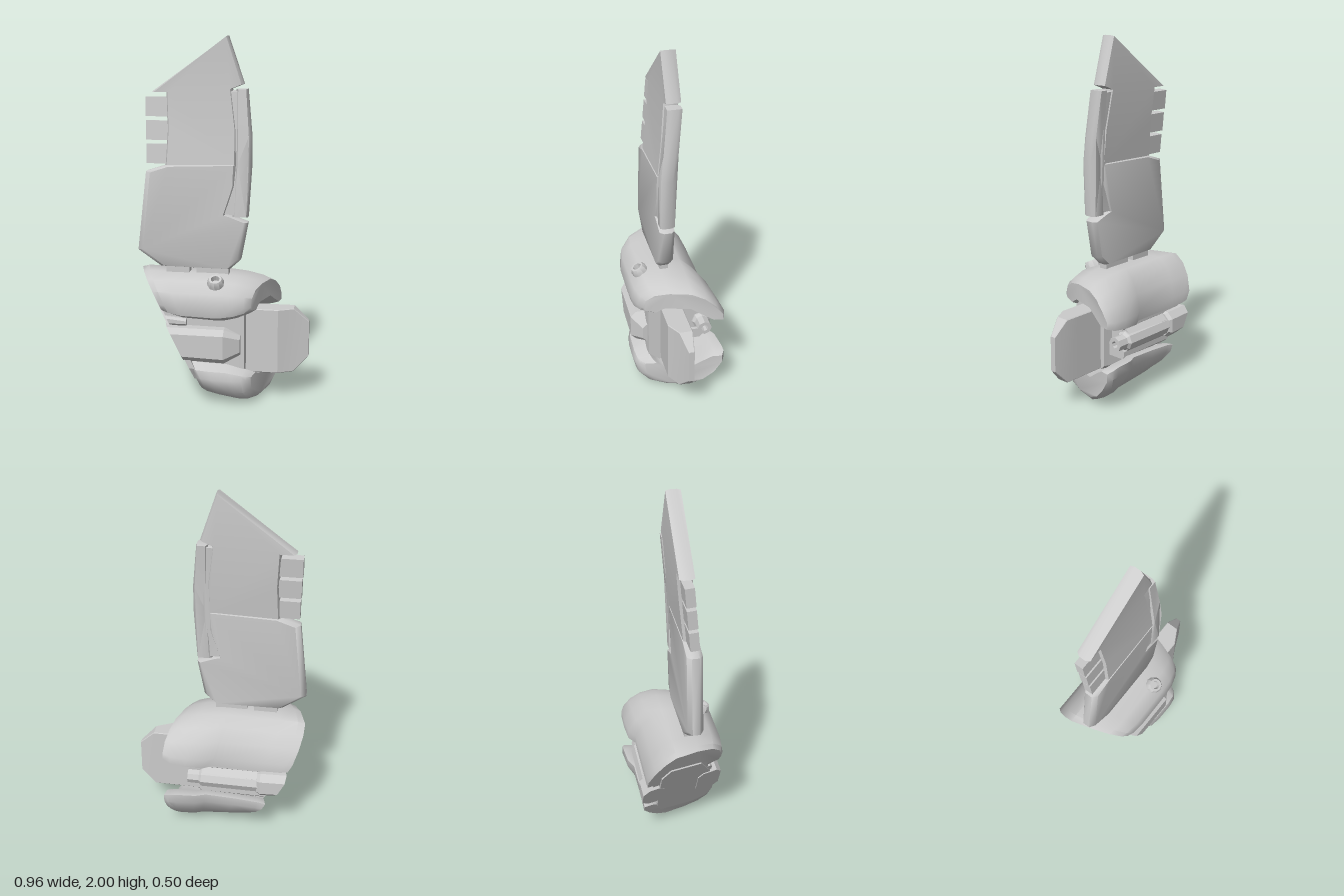
import * as THREE from 'three';
import { toCreasedNormals } from 'three/addons/utils/BufferGeometryUtils.js';

const V = (x, y, z) => new THREE.Vector3(x, y, z);
const lerp = THREE.MathUtils.lerp;
const material = new THREE.MeshStandardMaterial({ color: 0xcccccc, side: THREE.DoubleSide });

// Skin equal-count rings and close both ends; capAxis is the axis the caps face
function loft(rings, capAxis, crease) {
  const n = rings[0].length, tris = [];
  for (let r = 0; r < rings.length - 1; r++) {
    for (let i = 0; i < n; i++) {
      const j = (i + 1) % n, a = rings[r], b = rings[r + 1];
      tris.push([a[i], a[j], b[j]], [a[i], b[j], b[i]]);
    }
  }
  const u = capAxis === 'x' ? 'z' : 'x';
  const capFaces = (ring, flip) => {
    const flat = ring.map(p => new THREE.Vector2(p[u], p.y));
    const ccw = THREE.ShapeUtils.area(flat) > 0;
    for (const f of THREE.ShapeUtils.triangulateShape(flat, [])) {
      // keep the winding of the ring itself, then face outward
      const [a, b, c] = f.map(k => ring[k]);
      const same = (THREE.ShapeUtils.area(f.map(k => flat[k])) > 0) === ccw;
      tris.push(same !== flip ? [a, b, c] : [a, c, b]);
    }
  };
  capFaces(rings[0], true);
  capFaces(rings[rings.length - 1], false);
  let volume = 0;
  for (const [a, b, c] of tris) volume += a.dot(b.clone().cross(c));
  const pos = [];
  for (const [a, b, c] of tris) {
    for (const p of volume > 0 ? [a, b, c] : [a, c, b]) pos.push(p.x, p.y, p.z);
  }
  const g = new THREE.BufferGeometry();
  g.setAttribute('position', new THREE.Float32BufferAttribute(pos, 3));
  return toCreasedNormals(g, crease);
}

// Slanted plane that cuts the rear of the whole body
const cutX = (y, z) => -0.41 - 0.5 * (y - 0.6) + 0.3 * z;

// Gentle bend of the blade
function bend(y) {
  if (y < 1.3) return 0.047;
  if (y < 1.72) return lerp(0.047, 0.006, (y - 1.3) / 0.42);
  return lerp(0.006, 0.016, (y - 1.72) / 0.28);
}

// Bevelled plate following the bend; sx, sy shrink the flat faces
function plate(outline, thick, sx, sy) {
  const cx = outline.reduce((s, p) => s + p[0], 0) / outline.length;
  const cy = outline.reduce((s, p) => s + p[1], 0) / outline.length;
  const ring = (z, inset) => outline.map(([x, y]) => {
    const px = inset ? cx + (x - cx) * sx : x, py = inset ? cy + (y - cy) * sy : y;
    return V(px, py, bend(py) + z);
  });
  const h = thick / 2;
  return loft([ring(-h, true), ring(-h * 0.5, false), ring(h * 0.5, false), ring(h, true)], 'z', 1);
}

// Chamfered block: rings of [x, z0, z1, y0, y1, chamfer]; a slanted start follows the cut plane
function block(sections, slantStart = false) {
  return loft(sections.map(([x, z0, z1, y0, y1, c], i) => [
    [z0 + c, y0], [z1 - c, y0], [z1, y0 + c], [z1, y1 - c],
    [z1 - c, y1], [z0 + c, y1], [z0, y1 - c], [z0, y0 + c],
  ].map(([z, y]) => V(slantStart && i === 0 ? cutX(y, z) + x : x, y, z))), 'x', 0.3);
}

// Arched shell profile as [z, y], outside then inside
const arch = [
  [0.16, 0.465], [0.235, 0.5], [0.247, 0.56], [0.23, 0.63], [0.17, 0.685], [0.07, 0.71],
  [-0.06, 0.71], [-0.14, 0.665], [-0.2, 0.595], [-0.245, 0.51], [-0.245, 0.455], [-0.19, 0.455],
  [-0.12, 0.51], [-0.06, 0.56], [0.1, 0.56], [0.13, 0.52],
];

// stations: [t along x, front z scale, back z scale, y scale, lift of the front lip]
function shell(stations, mirrored) {
  const rings = stations.map(([t, front, back, sy, lift]) => arch.map(([z, y]) => {
    const pz = z * (z > 0 ? front : z < -0.1 ? back : 1);
    let py = 0.56 + (y - 0.56) * sy;
    if (z > 0 && y < 0.56) py = lerp(py, 0.56, lift);
    if (mirrored) py = 0.71 - py;
    const end = Math.min(0.303, 0.24 - 0.3 * pz);
    return V(lerp(cutX(py, pz), end, t), py, pz);
  }));
  return loft(rings, 'x', 0.75);
}

export function createModel() {
  const model = new THREE.Group();
  const add = (name, geometry) => {
    const m = new THREE.Mesh(geometry, material);
    m.name = name;
    model.add(m);
    return m;
  };
  const box = (name, x0, x1, y0, y1, z0, z1) => {
    const m = add(name, new THREE.BoxGeometry(x1 - x0, y1 - y0, z1 - z0));
    m.position.set((x0 + x1) / 2, (y0 + y1) / 2, (z0 + z1) / 2);
    return m;
  };

  // Blade: upper and lower plates
  add('upperBlade', plate([
    [0.03, 2], [-0.39, 1.7], [-0.31, 1.7], [-0.3, 1.5], [-0.31, 1.305],
    [0.08, 1.315], [0.08, 1.5], [0.05, 1.72], [0.115, 1.745],
  ], 0.08, 0.95, 0.99));
  add('lowerBlade', plate([
    [-0.42, 1.27], [-0.31, 1.305], [0.08, 1.318], [0.075, 1.2], [0.02, 1.04], [0.06, 1.03],
    [0.145, 1.0], [0.105, 0.79], [0.045, 0.735], [-0.34, 0.74], [-0.47, 0.83],
  ], 0.084, 0.92, 0.98));

  // Edge rail with its inner strip
  add('edgeRail', plate([
    [0.075, 1.72], [0.135, 1.72], [0.16, 1.47], [0.163, 1.32], [0.145, 1.03], [0.06, 1.03], [0.08, 1.32],
  ], 0.08, 0.72, 0.995));
  add('railStrip', plate([
    [0.04, 1.71], [0.1, 1.71], [0.12, 1.32], [0.09, 1.04], [0.01, 1.04], [0.05, 1.32],
  ], 0.066, 0.95, 0.99));

  // Teeth along the opposite edge
  for (let i = 0; i < 3; i++) {
    const y = 1.365 + i * 0.127;
    const tooth = box('bladeTooth', -0.415 - i * 0.004, -0.28, y - 0.053, y + 0.053, -0.025, 0.025);
    tooth.position.z = bend(y);
    tooth.rotation.x = -0.09;
  }

  // Neck posts joining the blade to the body
  box('neckPost', -0.31, -0.18, 0.66, 0.76, 0.015, 0.075);
  box('neckPost', -0.14, 0.04, 0.66, 0.76, 0.02, 0.07);

  // Body shells
  add('upperShell', shell([
    [0, 0.9, 0.84, 0.93, 0.4], [0.06, 0.96, 0.84, 1, 0.3], [0.2, 1, 0.84, 1, 0.1], [0.6, 1, 0.84, 1, 0],
    [0.68, 1, 0.97, 1, 0.05], [0.82, 0.98, 1.01, 0.93, 0.15], [0.94, 0.9, 1.02, 0.8, 0.35], [1, 0.8, 0.95, 0.65, 0.5],
  ], false));
  add('lowerShell', shell([
    [0, 0.85, 0.84, 0.68, 0], [0.08, 0.95, 0.84, 0.76, 0], [0.3, 0.99, 0.84, 0.86, 0.15], [0.6, 1, 0.86, 0.96, 0.25],
    [0.7, 1, 0.97, 0.99, 0.35], [0.88, 0.97, 1.01, 1, 0.55], [0.95, 0.9, 1.02, 0.94, 0.65], [1, 0.8, 0.95, 0.8, 0.75],
  ], true));

  // Core with slanted rear plate
  add('core', block([
    [0, -0.1, 0.15, 0.13, 0.57, 0.05], [0.1, -0.06, 0.165, 0.12, 0.56, 0.05], [0.14, -0.055, 0.16, 0.125, 0.555, 0.05],
  ], true));
  add('rearPlate', loft([-0.012, 0.02].map(d => [
    [-0.1, 0.14], [0.1, 0.11], [0.18, 0.13], [0.215, 0.2], [0.215, 0.35], [0.1, 0.56], [-0.08, 0.58], [-0.13, 0.52], [-0.13, 0.2],
  ].map(([z, y]) => V(cutX(y, z) + d, y, z))), 'x', 0.3));

  // Nose block
  add('nose', block([
    [0.1, -0.03, 0.09, 0.155, 0.52, 0.004], [0.317, -0.03, 0.09, 0.155, 0.52, 0.004],
    [0.4, -0.03, 0.045, 0.155, 0.52, 0.004], [0.483, -0.02, 0.012, 0.24, 0.44, 0.004],
  ]));

  // Front side pod and its ledge
  add('sidePod', block([
    [-0.02, 0.1, 0.24, 0.245, 0.43, 0.03], [0.035, 0.1, 0.243, 0.24, 0.43, 0.03], [0.12, 0.1, 0.19, 0.28, 0.39, 0.02],
  ], true));
  add('sideLedge', block([[0, 0.08, 0.18, 0.43, 0.48, 0.012], [-0.18, 0.08, 0.18, 0.43, 0.47, 0.012]], true));

  // Rear barrel in its housing, with a bored muzzle and a clip
  const barrel = add('barrel', toCreasedNormals(new THREE.LatheGeometry([
    [0, 0], [0.055, 0], [0.055, 0.4], [0.042, 0.415], [0.042, 0.48], [0.02, 0.48], [0.02, 0.43], [0, 0.43],
  ].map(p => new THREE.Vector2(...p)), 8), 0.5));
  barrel.rotation.z = -Math.PI / 2;
  barrel.position.set(-0.31, 0.345, -0.165);
  add('barrelHousing', block([
    [0.01, -0.2, -0.04, 0.27, 0.43, 0.04], [0.08, -0.2, -0.04, 0.27, 0.42, 0.04],
  ], true));
  for (const y of [0.265, 0.435]) {
    add('guideBar', block([[0.01, -0.17, -0.04, y - 0.03, y + 0.03, 0.015], [0.1, -0.17, -0.04, y - 0.03, y + 0.03, 0.015]], true));
  }
  add('barrelClip', block([
    [-0.015, -0.228, -0.1, 0.28, 0.43, 0.035], [-0.25, -0.228, -0.1, 0.275, 0.425, 0.035],
    [-0.23, -0.215, -0.1, 0.285, 0.415, 0.03],
  ], true));

  // Tilted hollow knob on the upper shell
  const knob = add('knob', toCreasedNormals(new THREE.LatheGeometry([
    [0.046, -0.04], [0.046, 0.02], [0.036, 0.038], [0.024, 0.038], [0.02, 0.01], [0, 0.01],
  ].map(p => new THREE.Vector2(...p)), 10), 0.5));
  knob.position.set(-0.015, 0.675, 0.172);
  knob.rotation.x = 0.5;

  return model;
}
